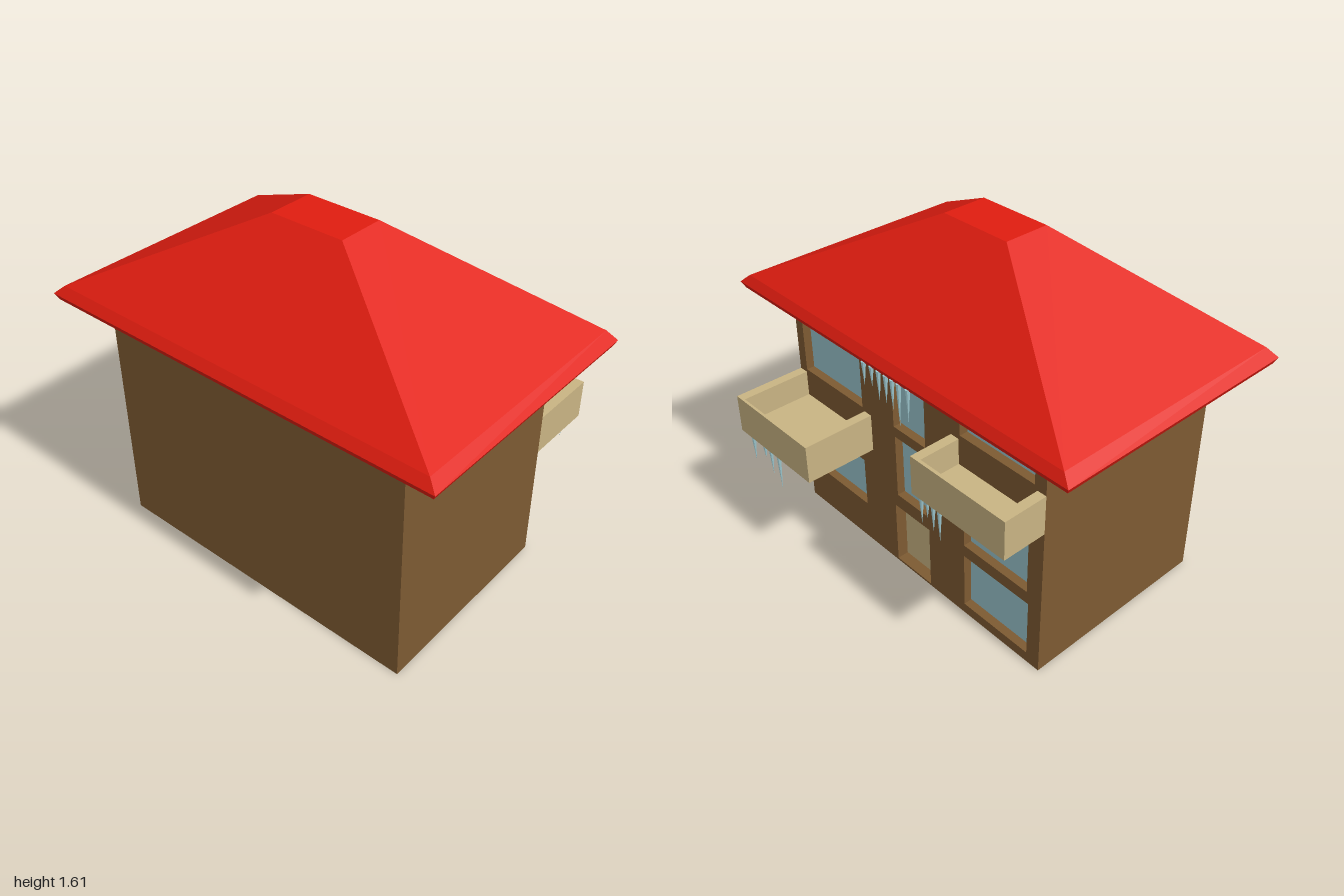
import * as THREE from 'three';

const mat = (color, extra = {}) => new THREE.MeshStandardMaterial({ color, flatShading: true, ...extra });

export function createModel() {
  const house = new THREE.Group();
  house.name = 'house';
  const brown = mat(0x7d5a32), red = mat(0xe01d10), tan = mat(0xc9b483);
  const glass = mat(0x99c4cc), ice = mat(0x9fc9d0);

  const add = (name, geometry, material, parent = house) => {
    const mesh = new THREE.Mesh(geometry, material);
    mesh.name = name;
    parent.add(mesh);
    return mesh;
  };
  // Box given by its limits on each axis
  const block = (name, [x0, x1], [y0, y1], [z0, z1], material, parent) => {
    const mesh = add(name, new THREE.BoxGeometry(x1 - x0, y1 - y0, z1 - z0), material, parent);
    mesh.position.set((x0 + x1) / 2, (y0 + y1) / 2, (z0 + z1) / 2);
    return mesh;
  };

  // Openings in the facade: z range, y range, recess depth
  const openings = [
    ['window', 0.32, 0.735, 0.76, 1.10, 0.04],
    ['window', -0.10, 0.105, 0.77, 1.09, 0.04],
    ['window', -0.725, -0.315, 0.95, 1.10, 0.04],
    ['window', -0.095, 0.10, 0.40, 0.72, 0.04],
    ['window', -0.705, -0.335, 0.39, 0.655, 0.04],
    ['window', -0.715, -0.335, 0.05, 0.33, 0.04],
    ['window', 0.335, 0.725, 0.205, 0.46, 0.04],
    ['door', -0.11, 0.12, 0.01, 0.33, 0.055],
  ];

  // Walls: solid core plus a pierced facade on the +x side
  const wallX = 0.37, coreX = 0.31, halfZ = 0.785, wallTop = 1.125;
  block('wallCore', [-0.59, coreX], [0, wallTop], [-halfZ, halfZ], brown);
  const rect = (target, u0, u1, v0, v1) =>
    target.moveTo(u0, v0).lineTo(u1, v0).lineTo(u1, v1).lineTo(u0, v1).closePath();
  const facadeShape = new THREE.Shape();
  rect(facadeShape, -halfZ, halfZ, 0, wallTop);
  for (const [, z0, z1, y0, y1] of openings) {
    const hole = new THREE.Path();
    rect(hole, -z1, -z0, y0, y1);
    facadeShape.holes.push(hole);
  }
  const facade = add('facade',
    new THREE.ExtrudeGeometry(facadeShape, { depth: wallX - coreX, bevelEnabled: false }), brown);
  facade.rotation.y = Math.PI / 2;
  facade.position.x = coreX;
  for (const [kind, z0, z1, y0, y1, depth] of openings)
    block(kind, [coreX - 0.01, wallX - depth], [y0, y1], [z0, z1], kind === 'door' ? tan : glass);

  // Closed solid from stacked rectangles [y, x0, x1, halfZ]
  const stack = (rings) => {
    const pos = [], index = [];
    for (const [y, x0, x1, h] of rings) pos.push(x0, y, h, x1, y, h, x1, y, -h, x0, y, -h);
    for (let r = 0; r < rings.length - 1; r++)
      for (let k = 0; k < 4; k++) {
        const a = r * 4 + k, b = r * 4 + (k + 1) % 4;
        index.push(a, b, b + 4, a, b + 4, a + 4);
      }
    const t = (rings.length - 1) * 4;
    index.push(0, 2, 1, 0, 3, 2, t, t + 1, t + 2, t, t + 2, t + 3);
    const g = new THREE.BufferGeometry();
    g.setAttribute('position', new THREE.Float32BufferAttribute(pos, 3));
    g.setIndex(index);
    const flat = g.toNonIndexed();
    flat.computeVertexNormals();
    return flat;
  };
  // Hipped roof with a brown soffit
  add('soffit', stack([[1.12, -0.66, 0.45, 0.905], [1.13, -0.705, 0.485, 0.985]]), brown);
  add('roof', stack([
    [1.13, -0.705, 0.485, 0.985],
    [1.16, -0.72, 0.5, 1],
    [1.2, -0.69, 0.475, 0.955],
    [1.61, -0.22, 0, 0.18],
  ]), red);

  // Balconies: open boxes, the upper one with a brown outer end
  const balcony = (name, x1, y0, y1, z0, z1, rim, endMaterial) => {
    const g = new THREE.Group();
    g.name = name;
    house.add(g);
    const side = 0.045, floorY = y0 + 0.06;
    const end = [tan, tan, tan, tan, endMaterial, tan];
    block('balconyFloor', [wallX, x1 - rim], [y0, floorY], [z0 + side, z1 - side], tan, g);
    block('balconyFront', [x1 - rim, x1], [y0, y1], [z0 + side, z1 - side], tan, g);
    block('balconyEnd', [wallX, x1], [y0, y1], [z0, z0 + side], tan, g);
    block('balconyEnd', [wallX, x1], [y0, y1], [z1 - side, z1], end, g);
  };
  balcony('lowerBalcony', 0.715, 0.56, 0.745, 0.262, 0.785, 0.012, tan);
  balcony('upperBalcony', 0.58, 0.747, 0.93, -0.785, -0.263, 0.015, brown);

  // Icicles: x, top y, then pairs of z and tip y
  const icicles = (x, top, list) => {
    for (const [z, tip] of list) {
      const cone = add('icicle', new THREE.ConeGeometry(0.011, top - tip, 8), ice);
      cone.rotation.x = Math.PI;
      cone.position.set(x, (top + tip) / 2, z);
    }
  };
  icicles(0.485, 1.135, [[0.13, 1.02], [0.08, 1.04], [0.035, 0.99], [-0.01, 1.0],
    [-0.05, 0.99], [-0.09, 0.93], [-0.145, 0.98]]);
  icicles(0.7, 0.565, [[0.715, 0.42], [0.625, 0.48], [0.575, 0.42], [0.515, 0.37]]);
  icicles(0.565, 0.752, [[-0.305, 0.61], [-0.34, 0.66], [-0.375, 0.61], [-0.412, 0.585]]);

  return house;
}
